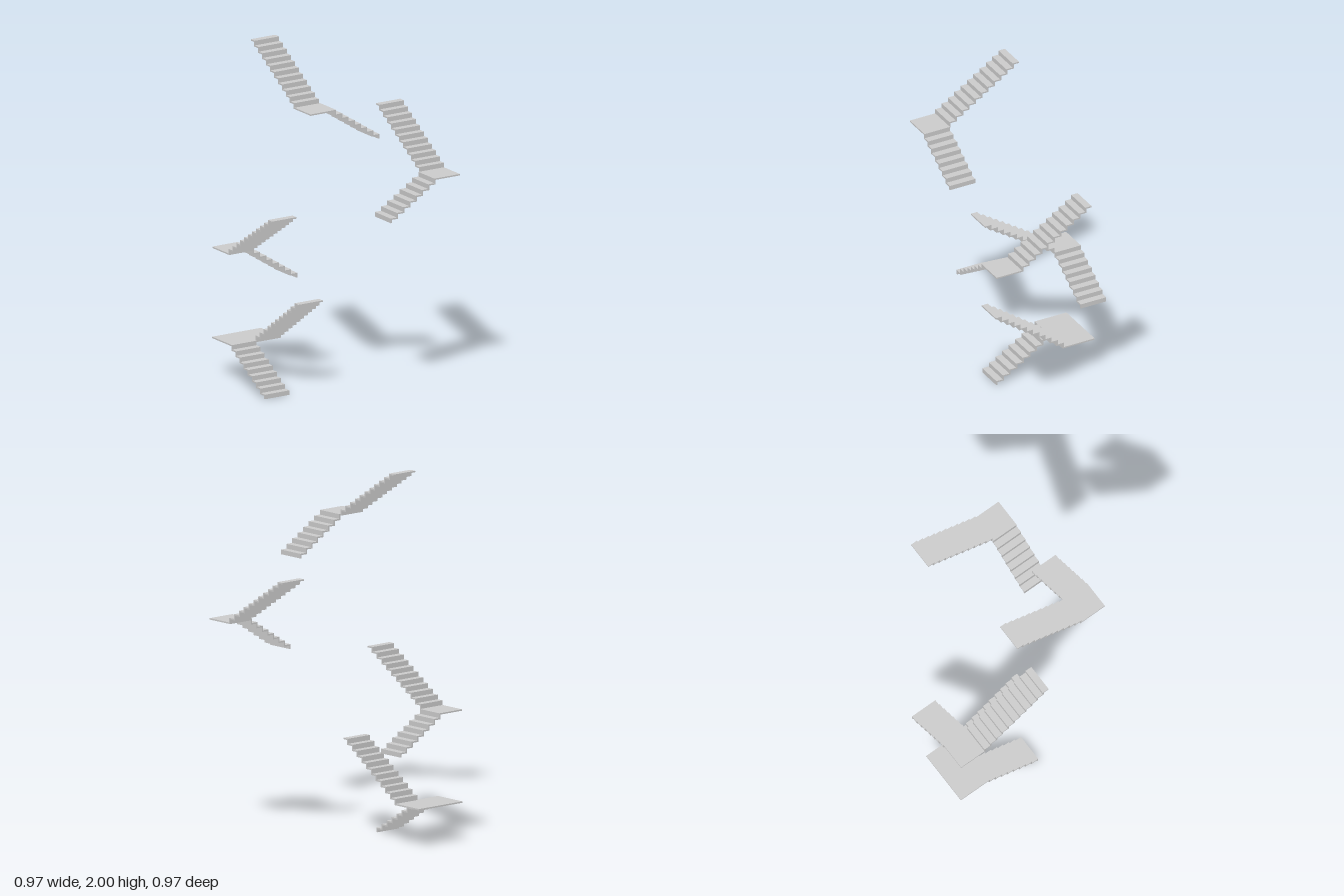
import * as THREE from 'three';

const THICK = 0.008; // plate thickness of treads, risers and landings
const WIDTH = 0.158; // width of every flight
const material = new THREE.MeshStandardMaterial({ color: 0xcccccc, flatShading: true });

// Folded-plate flight: climbs along +x from the origin, then is turned by angle.
// endRiser adds a last riser meeting a landing; drop lengthens the first riser.
function flight(name, { x, y, z, angle, treads, run, rise, endRiser = false, drop = 0 }) {
  const top = [[0, -drop]];
  const under = [[THICK, -drop]];
  for (let i = 0; i < treads; i++) {
    const h = (i + 1) * rise;
    const end = (i + 1) * run;
    const last = i === treads - 1 && !endRiser;
    top.push([i * run, h], [end, h]);
    under.push([i * run + THICK, h - THICK], [end + (last ? 0 : THICK), h - THICK]);
  }
  if (endRiser) {
    const h = (treads + 1) * rise;
    top.push([treads * run, h], [treads * run + THICK, h]);
  }
  const outline = [...top, ...under.reverse()].map(([u, v]) => new THREE.Vector2(u, v));
  const geometry = new THREE.ExtrudeGeometry(new THREE.Shape(outline), { depth: WIDTH, bevelEnabled: false });
  geometry.translate(0, 0, -WIDTH / 2);
  const mesh = new THREE.Mesh(geometry, material);
  mesh.name = name;
  mesh.position.set(x, y, z);
  mesh.rotation.y = angle;
  return mesh;
}

// Flat landing plate given by its extents and top height
function landing(name, x0, x1, z0, z1, top) {
  const mesh = new THREE.Mesh(new THREE.BoxGeometry(x1 - x0, THICK, z1 - z0), material);
  mesh.name = name;
  mesh.position.set((x0 + x1) / 2, top - THICK / 2, (z0 + z1) / 2);
  return mesh;
}

// Bottom storey: two parallel flights joined by a wide half-turn landing
function halfTurnStair() {
  const group = new THREE.Group();
  group.name = 'halfTurnStair';
  const mid = 0.2275, edge = -0.297;
  group.add(
    flight('lowerFlight', {
      x: -0.406, y: 0, z: 0.035, angle: Math.PI / 2,
      treads: 8, run: (0.035 - edge - THICK) / 8, rise: mid / 9, endRiser: true,
    }),
    landing('landing', -0.485, -0.169, -0.487, edge, mid),
    flight('upperFlight', {
      x: -0.248, y: mid, z: edge, angle: -Math.PI / 2,
      treads: 11, run: (0.126 - edge) / 11, rise: (0.53 - mid) / 11, drop: THICK,
    }),
  );
  return group;
}

// Upper storeys: short flight along x, square corner landing, long flight along z
function quarterTurnStair(name, floor, sx, sz) {
  const group = new THREE.Group();
  group.name = name;
  const inner = 0.327, outer = inner + WIDTH, centre = inner + WIDTH / 2;
  const mid = floor + 0.207, top = floor + 0.49;
  group.add(
    flight('lowerFlight', {
      x: sx * 0.036, y: floor, z: sz * centre, angle: sx > 0 ? 0 : Math.PI,
      treads: 7, run: (inner - 0.036 - THICK) / 7, rise: (mid - floor) / 8, endRiser: true,
    }),
    landing('landing',
      Math.min(sx * inner, sx * outer), Math.max(sx * inner, sx * outer),
      Math.min(sz * inner, sz * outer), Math.max(sz * inner, sz * outer), mid),
    flight('upperFlight', {
      x: sx * centre, y: mid, z: sz * inner, angle: sz * Math.PI / 2,
      treads: 11, run: (inner + 0.105) / 11, rise: (top - mid) / 11, drop: THICK,
    }),
  );
  return group;
}

export function createModel() {
  const model = new THREE.Group();
  model.name = 'stairs';
  model.add(
    halfTurnStair(),
    quarterTurnStair('secondStair', 0.53, -1, -1),
    quarterTurnStair('thirdStair', 1.02, 1, 1),
    quarterTurnStair('fourthStair', 1.51, -1, 1),
  );
  return model;
}
